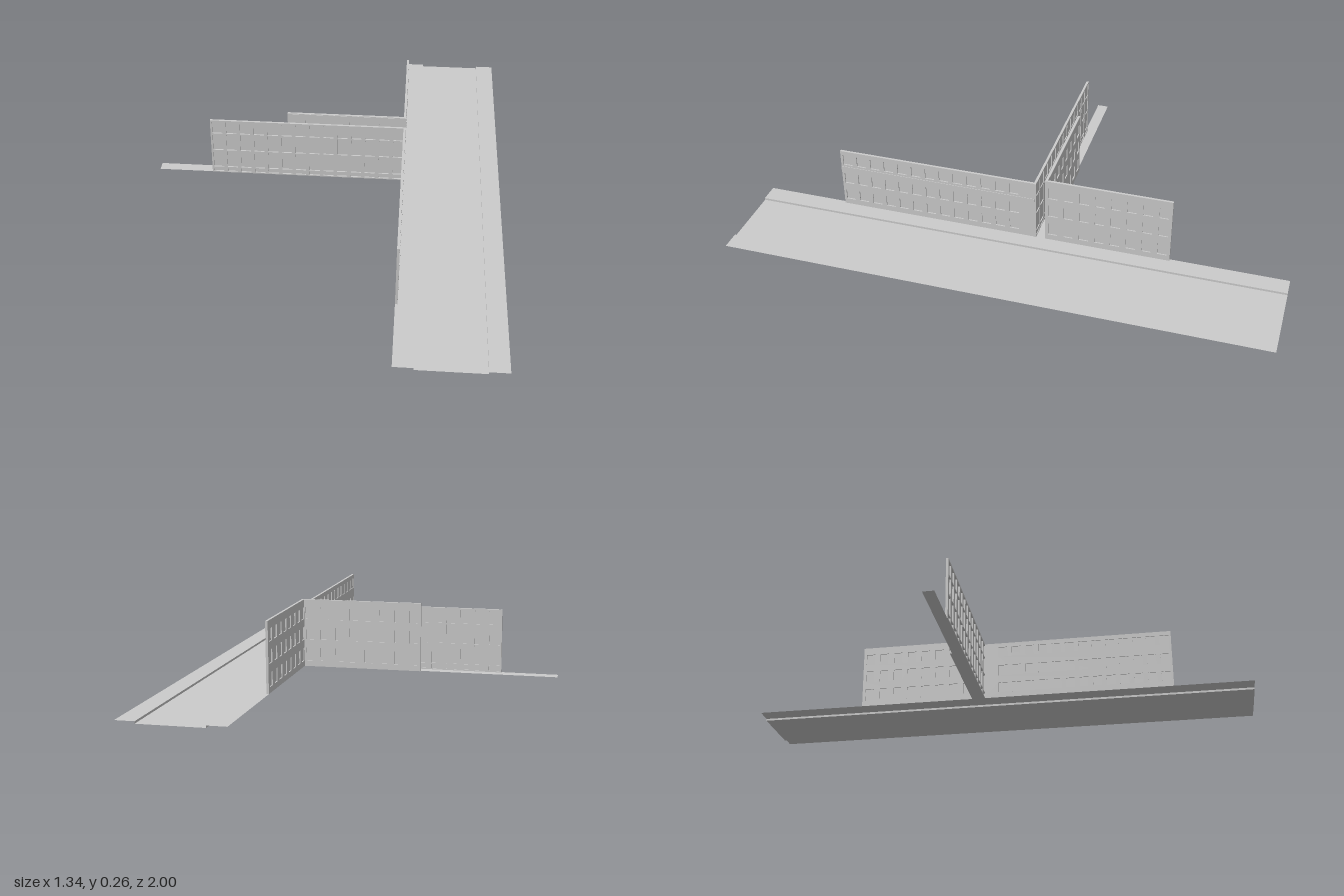
import * as THREE from 'three';

const material = new THREE.MeshStandardMaterial({ color: 0xcccccc, side: THREE.DoubleSide, flatShading: true });
const BASE = 0.008; // pavement level
const DEPTH = 0.009; // facade thickness

function addMesh(group, name, geometry, x = 0, y = 0, z = 0) {
  const mesh = new THREE.Mesh(geometry, material);
  mesh.name = name;
  mesh.position.set(x, y, z);
  group.add(mesh);
  return mesh;
}

function rectangle(Type, x0, y0, x1, y1) {
  const path = new Type();
  path.moveTo(x0, y0);
  path.lineTo(x1, y0);
  path.lineTo(x1, y1);
  path.lineTo(x0, y1);
  path.closePath();
  return path;
}

// Thin wall along local +x, street side towards local +z, with a grid of recessed windows
function facade({ name, length, top, columns, rows, fill, margin = 0, pane = 0.004, bands = [] }) {
  const group = new THREE.Group();
  group.name = name;
  const wall = rectangle(THREE.Shape, 0, BASE, length, top);
  const pitch = (length - margin) / columns;
  for (let i = 0; i < columns; i++) {
    const centre = (i + 0.5) * pitch;
    for (const [low, high] of rows) {
      wall.holes.push(rectangle(THREE.Path, centre - pitch * fill / 2, low, centre + pitch * fill / 2, high));
    }
  }
  addMesh(group, 'windowFrames', new THREE.ExtrudeGeometry(wall, { depth: DEPTH, bevelEnabled: false }));
  addMesh(group, 'windowPanes', new THREE.PlaneGeometry(length, top - BASE), length / 2, (top + BASE) / 2, pane);
  for (const [low, high] of bands) {
    addMesh(group, 'ledge', new THREE.BoxGeometry(length, high - low, 0.002), length / 2, (low + high) / 2, DEPTH + 0.001);
  }
  return group;
}

function place(parent, options, x, z, turn) {
  const group = facade(options);
  group.position.set(x, 0, z);
  group.rotation.y = turn;
  parent.add(group);
}

// Open street sheet: pavement, kerb, roadway, kerb, pavement
function streetSheet() {
  const profile = [[0.285, BASE], [0.355, BASE], [0.355, 0], [0.595, 0], [0.595, BASE], [0.665, BASE]];
  const positions = [];
  const index = [];
  profile.forEach(([x, y], i) => {
    positions.push(x, y, 1, x, y, -1);
    if (i) {
      const a = 2 * (i - 1);
      index.push(a, a + 2, a + 1, a + 1, a + 2, a + 3);
    }
  });
  const geometry = new THREE.BufferGeometry();
  geometry.setAttribute('position', new THREE.Float32BufferAttribute(positions, 3));
  geometry.setIndex(index);
  const flat = geometry.toNonIndexed();
  flat.computeVertexNormals();
  return flat;
}

export function createModel() {
  const model = new THREE.Group();
  model.name = 'streetCorner';

  // Ground
  addMesh(model, 'mainStreet', streetSheet());
  const alley = new THREE.PlaneGeometry(0.955, 0.042).rotateX(-Math.PI / 2);
  addMesh(model, 'alley', alley, -0.1925, BASE, -0.085);

  // First building: main street front and alley front
  const smallWindows = [[0.03, 0.072], [0.103, 0.148], [0.186, 0.228]];
  place(model, {
    name: 'firstBuildingStreetFront', length: 0.755, top: 0.245, columns: 13, margin: 0.05,
    rows: smallWindows, fill: 0.66, bands: [[0.155, 0.178]],
  }, 0.285, 0.69, Math.PI / 2);
  place(model, {
    name: 'firstBuildingAlleyFront', length: 0.755, top: 0.245, columns: 14, pane: 0.006,
    rows: [[0.012, 0.028], [0.033, 0.106], [0.111, 0.182], [0.187, 0.238]], fill: 0.74,
  }, 0.295, -0.062, Math.PI);

  // Second building: main street front and alley front
  const tallWindows = [[0.03, 0.08], [0.112, 0.16], [0.19, 0.235]];
  place(model, {
    name: 'secondBuildingStreetFront', length: 0.465, top: 0.265, columns: 8,
    rows: tallWindows, fill: 0.6, pane: 0.0045,
  }, 0.285, -0.105, Math.PI / 2);
  place(model, {
    name: 'secondBuildingAlleyFront', length: 0.455, top: 0.265, columns: 8,
    rows: tallWindows, fill: 0.55, bands: [[0.256, 0.263]],
  }, -0.163, -0.114, 0);

  return model;
}
